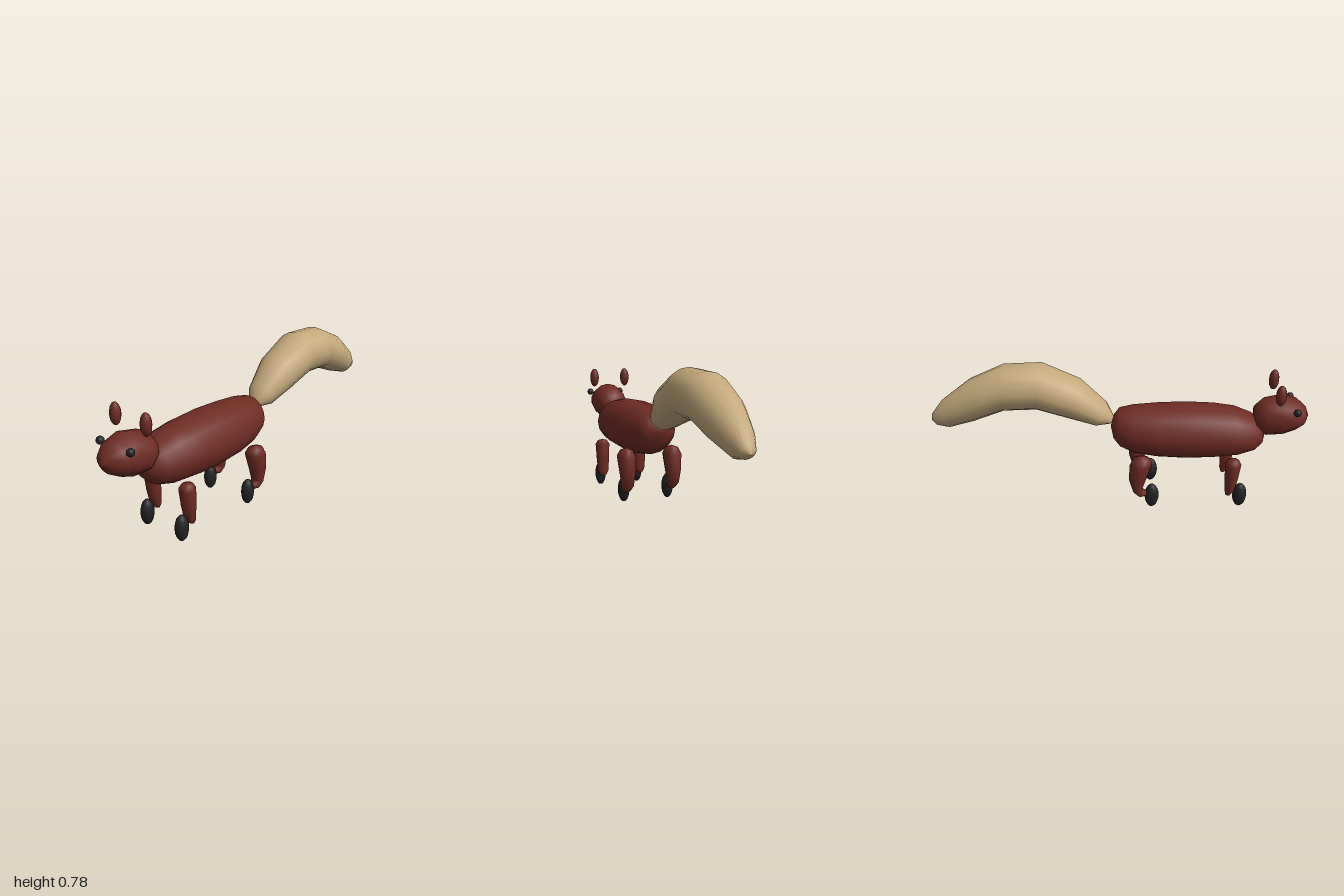
import * as THREE from 'three';

const fur = new THREE.MeshStandardMaterial({ color: 0x6e2c22 });
fur.name = 'russet fur';
const cream = new THREE.MeshStandardMaterial({ color: 0xc4a87c });
cream.name = 'cream tail';
const dark = new THREE.MeshStandardMaterial({ color: 0x222222 });
dark.name = 'charcoal';

// Smooth skin over elliptical rings; each section is [z1, y1, z2, y2, halfWidth],
// two opposite points of the ring in the side plane plus its half width in x.
function loft(sections, sides) {
  const pos = [], idx = [];
  sections.forEach(([z1, y1, z2, y2, w], i) => {
    for (let j = 0; j < sides; j++) {
      const a = (j / sides) * Math.PI * 2, c = Math.cos(a) / 2;
      pos.push(w * Math.sin(a), (y1 + y2) / 2 + (y1 - y2) * c, (z1 + z2) / 2 + (z1 - z2) * c);
      if (i === sections.length - 1) continue;
      const k = (j + 1) % sides, p = i * sides, q = p + sides;
      idx.push(p + j, q + j, p + k, p + k, q + j, q + k);
    }
  });
  const g = new THREE.BufferGeometry();
  g.setAttribute('position', new THREE.Float32BufferAttribute(pos, 3));
  g.setIndex(idx);
  g.computeVertexNormals();
  return g;
}

export function createModel() {
  const model = new THREE.Group();
  model.name = 'squirrel';

  function add(name, geometry, material, x = 0, y = 0, z = 0) {
    const mesh = new THREE.Mesh(geometry, material);
    mesh.name = name;
    mesh.position.set(x, y, z);
    model.add(mesh);
    return mesh;
  }
  function pair(name, geometry, material, x, y = 0, z = 0) {
    add(name + 'Left', geometry, material, x, y, z);
    add(name + 'Right', geometry, material, -x, y, z);
  }
  const ellipsoid = (rx, ry, rz) => new THREE.SphereGeometry(1, 12, 10).scale(rx, ry, rz);

  // Torso, rump to chest
  add('body', loft([
    [-0.045, 0.425, -0.045, 0.425, 0],
    [-0.03, 0.485, -0.03, 0.36, 0.07],
    [0.0, 0.525, 0.005, 0.315, 0.105],
    [0.07, 0.54, 0.08, 0.28, 0.13],
    [0.2, 0.55, 0.2, 0.262, 0.15],
    [0.35, 0.556, 0.35, 0.255, 0.157],
    [0.5, 0.55, 0.5, 0.26, 0.154],
    [0.61, 0.535, 0.63, 0.273, 0.142],
    [0.7, 0.5, 0.72, 0.3, 0.11],
    [0.75, 0.46, 0.762, 0.34, 0.07],
    [0.778, 0.4, 0.778, 0.4, 0],
  ], 16), fur);

  // Head, neck to nose
  add('head', loft([
    [0.708, 0.48, 0.708, 0.48, 0],
    [0.712, 0.545, 0.722, 0.425, 0.065],
    [0.76, 0.59, 0.775, 0.39, 0.095],
    [0.86, 0.612, 0.86, 0.398, 0.106],
    [0.93, 0.59, 0.92, 0.42, 0.092],
    [0.975, 0.55, 0.965, 0.447, 0.06],
    [0.995, 0.5, 0.995, 0.5, 0],
  ], 14), fur);

  // Bushy arched tail, tip to root
  add('tail', loft([
    [-1.0, 0.455, -1.0, 0.455, 0],
    [-0.992, 0.495, -0.96, 0.43, 0.038],
    [-0.93, 0.575, -0.9, 0.42, 0.068],
    [-0.78, 0.69, -0.76, 0.465, 0.108],
    [-0.6, 0.77, -0.6, 0.53, 0.13],
    [-0.4, 0.78, -0.43, 0.537, 0.13],
    [-0.2, 0.69, -0.28, 0.49, 0.118],
    [-0.065, 0.56, -0.13, 0.44, 0.08],
    [-0.03, 0.485, -0.05, 0.447, 0.035],
    [-0.035, 0.465, -0.035, 0.465, 0],
  ], 16), cream);

  // Front legs
  pair('frontLeg', loft([
    [0.605, 0.294, 0.605, 0.294, 0],
    [0.635, 0.286, 0.575, 0.288, 0.028],
    [0.648, 0.262, 0.562, 0.265, 0.043],
    [0.638, 0.18, 0.565, 0.18, 0.039],
    [0.622, 0.105, 0.57, 0.1, 0.034],
    [0.605, 0.078, 0.577, 0.074, 0.02],
    [0.59, 0.066, 0.59, 0.066, 0],
  ], 12), fur, 0.119);

  // Hind legs, bent forward at the ankle
  pair('hindLeg', loft([
    [0.115, 0.318, 0.115, 0.318, 0],
    [0.16, 0.305, 0.075, 0.302, 0.035],
    [0.176, 0.275, 0.057, 0.265, 0.053],
    [0.15, 0.19, 0.053, 0.175, 0.045],
    [0.127, 0.122, 0.075, 0.1, 0.036],
    [0.132, 0.108, 0.11, 0.068, 0.029],
    [0.15, 0.105, 0.148, 0.073, 0.018],
    [0.155, 0.09, 0.155, 0.09, 0],
  ], 12), fur, 0.135);

  // Paws
  const paw = ellipsoid(0.032, 0.07, 0.038);
  pair('frontPaw', paw, dark, 0.119, 0.073, 0.652);
  pair('hindPaw', paw, dark, 0.132, 0.073, 0.177);

  // Ears and eyes
  pair('ear', ellipsoid(0.028, 0.056, 0.027), fur, 0.1, 0.657, 0.817);
  pair('eye', ellipsoid(0.02, 0.02, 0.02), dark, 0.1, 0.56, 0.912);

  return model;
}
